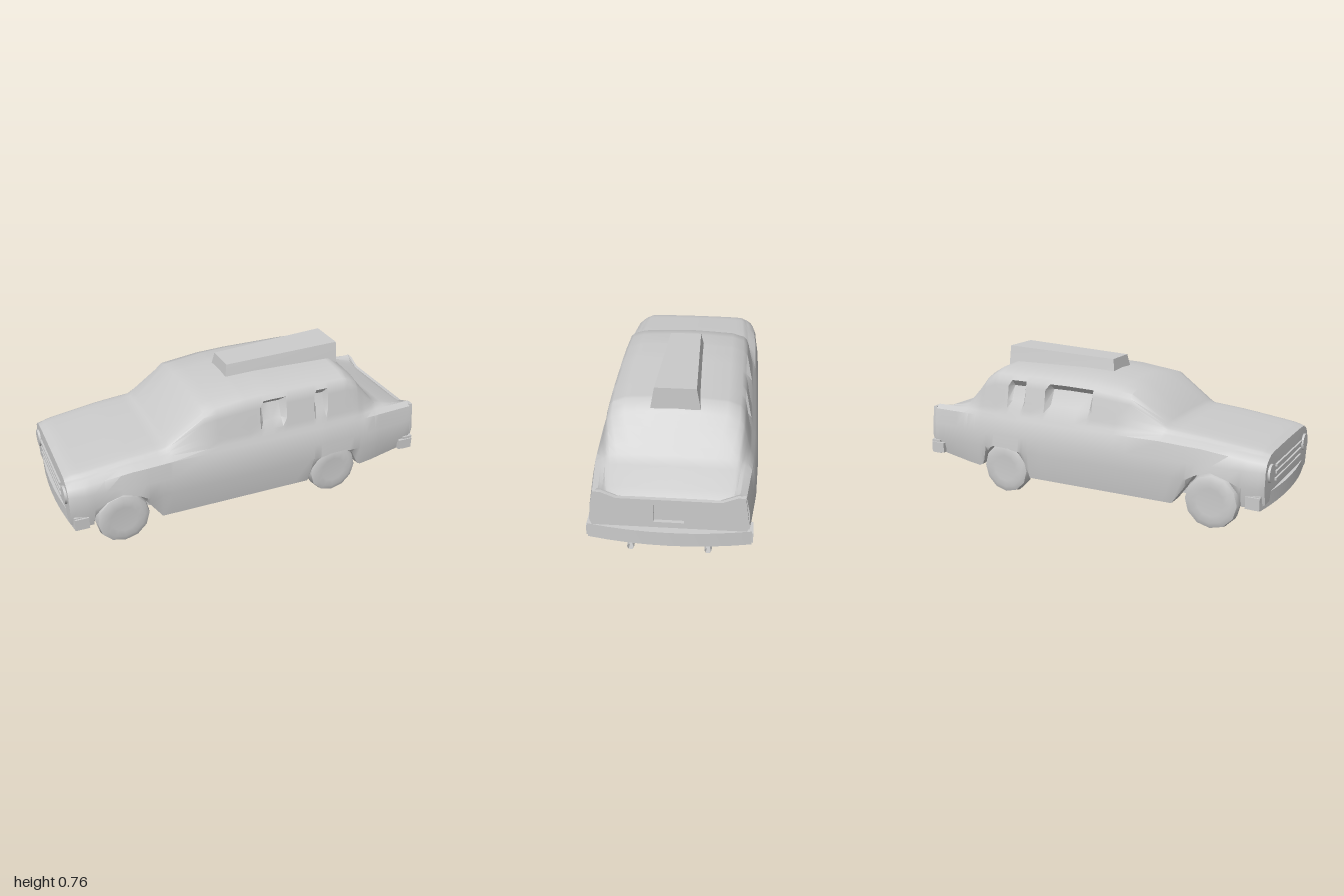
import * as THREE from 'three';
import { toCreasedNormals } from 'three/addons/utils/BufferGeometryUtils.js';

const material = new THREE.MeshStandardMaterial({ color: 0xcccccc, side: THREE.DoubleSide });

function add(parent, name, geometry, x = 0, y = 0, z = 0, crease = 0.7) {
  const mesh = new THREE.Mesh(toCreasedNormals(geometry, crease), material);
  mesh.name = name;
  mesh.position.set(x, y, z);
  parent.add(mesh);
  return mesh;
}

// Linear interpolation through [x, value] pairs
function sample(table, x) {
  for (let i = 1; i < table.length; i++) {
    const [x0, v0] = table[i - 1], [x1, v1] = table[i];
    if (x <= x1) return v0 + (v1 - v0) * Math.max(0, (x - x0) / (x1 - x0));
  }
  return table[table.length - 1][1];
}

// Body curves along the length; the nose points to -x
const roof = [[-0.98, 0.405], [-0.94, 0.42], [-0.66, 0.455], [-0.47, 0.475], [-0.27, 0.645], [-0.2, 0.655],
  [-0.06, 0.675], [0.1, 0.682], [0.54, 0.68], [0.6, 0.642], [0.73, 0.475], [0.78, 0.45], [0.9, 0.41], [0.94, 0.385]];
const belt = [[-0.98, 0.385], [-0.66, 0.425], [-0.45, 0.435], [0.73, 0.435], [0.94, 0.43]];
const halfWidth = [[-0.98, 0.368], [-0.9, 0.385], [-0.6, 0.4], [0.4, 0.404], [0.7, 0.395], [0.94, 0.37]];
const floorLine = [[-0.98, 0.17], [-0.9, 0.14], [0.65, 0.14], [0.94, 0.17]];
const sill = [[-0.98, 0.17], [-0.95, 0.15], [-0.87, 0.15], [-0.86, 0.2], [-0.8, 0.27], [-0.72, 0.295],
  [-0.64, 0.27], [-0.585, 0.2], [-0.52, 0.11], [0.3, 0.11], [0.325, 0.18], [0.37, 0.24], [0.42, 0.255],
  [0.52, 0.255], [0.57, 0.22], [0.61, 0.14], [0.63, 0.13], [0.94, 0.17]];

// Sunken window openings: [start, end, side, depth]
const windows = [[0.03, 0.18, 1, 0.045], [0.33, 0.43, 1, 0.035], [-0.06, 0.22, -1, 0.05], [0.34, 0.45, -1, 0.035]];

// Upper section rows: [height share, z on the deck, z on the cabin, share of the window depth]
const rows = [[0, 0.345, 0.365, 0], [0.14, 0.335, 0.358, 0], [0.3, 0.325, 0.348, 0.5], [0.62, 0.315, 0.334, 1],
  [0.75, 0.3, 0.325, 0], [0.85, 0.26, 0.305, 0], [0.94, 0.19, 0.245, 0], [0.975, 0.09, 0.12, 0]];

// Half cross-section from floor centre to roof centre, as [z, y]
function halfSection(x, side) {
  const w = sample(halfWidth, x), yb = sample(sill, x), yf = sample(floorLine, x);
  const d = sample(belt, x), top = sample(roof, x);
  const cabin = THREE.MathUtils.clamp((top - d) / 0.2, 0, 1);
  const dent = windows.reduce((s, [a, b, k, depth]) => (k === side && x > a + 0.01 && x < b - 0.01 ? depth : s), 0);
  const points = [[0, yf], [0.29, yf], [0.29, yb], [w - 0.02, yb], [w, Math.max(0.25, yb + 0.005)],
    [w - 0.006, 0.33], [w - 0.022, d - 0.02]];
  for (const [f, zDeck, zCabin, share] of rows)
    points.push([THREE.MathUtils.lerp(zDeck, zCabin, cabin) * w / 0.4 - share * dent, d + (top - d) * f]);
  points.push([0, top]);
  return points.map(([z, y]) => [z * side, y]);
}

function bodyGeometry() {
  const stations = [roof, belt, halfWidth, floorLine, sill].flat().map((p) => p[0]);
  for (const [a, b] of windows) stations.push(a, a + 0.025, b - 0.025, b);
  const xs = [...new Set(stations)].sort((a, b) => a - b);
  const positions = [], index = [];
  let n = 0;
  for (const x of xs) {
    const ring = [...halfSection(x, 1), ...halfSection(x, -1).reverse().slice(1, -1)];
    n = ring.length;
    for (const [z, y] of ring) positions.push(x, y, z);
  }
  const last = (xs.length - 1) * n, nose = xs.length * n;
  for (let j = 0; j < n; j++) {
    const k = (j + 1) % n;
    for (let i = 0; i < last; i += n) index.push(i + j, i + n + j, i + n + k, i + j, i + n + k, i + k);
    index.push(nose, j, k, nose + 1, last + k, last + j);
  }
  positions.push(xs[0] - 0.005, 0.29, 0, xs[xs.length - 1], 0.29, 0);
  const g = new THREE.BufferGeometry();
  g.setAttribute('position', new THREE.Float32BufferAttribute(positions, 3));
  g.setIndex(index);
  return g;
}

// Bar with a bowed outer edge; dir is -1 at the nose and 1 at the tail
function bumperGeometry(dir, inner, end, middle, half, height) {
  const s = new THREE.Shape();
  s.moveTo(dir * inner, -half);
  s.lineTo(dir * end, -half);
  s.quadraticCurveTo(dir * (2 * middle - end), 0, dir * end, half);
  s.lineTo(dir * inner, half);
  s.closePath();
  const g = new THREE.ExtrudeGeometry(s, { depth: height, bevelEnabled: false, curveSegments: 8 });
  return g.rotateX(-Math.PI / 2);
}

// Roof sign: tapered towards the top, wider and higher at the rear
function signGeometry() {
  const g = new THREE.BoxGeometry(1, 1, 1);
  const p = g.attributes.position;
  for (let i = 0; i < p.count; i++) {
    const up = p.getY(i) > 0, back = p.getX(i) > 0;
    const half = up ? (back ? 0.1 : 0.08) : (back ? 0.12 : 0.1);
    p.setXYZ(i, back ? 0.59 : up ? -0.045 : -0.06, up ? (back ? 0.757 : 0.732) : 0.645, Math.sign(p.getZ(i)) * half);
  }
  return g;
}

// Tail panel with the recess for the number plate, dipping between the fins
function tailPanelGeometry() {
  const s = new THREE.Shape([[-0.345, 0.19], [0.345, 0.19], [0.365, 0.27], [0.345, 0.42], [0.31, 0.42],
    [0.24, 0.39], [-0.24, 0.39], [-0.31, 0.42], [-0.345, 0.42], [-0.365, 0.27]]
    .map(([x, y]) => new THREE.Vector2(x, y)));
  s.holes.push(new THREE.Path([[-0.07, 0.265], [-0.07, 0.36], [0.07, 0.36], [0.07, 0.265]]
    .map(([x, y]) => new THREE.Vector2(x, y))));
  return new THREE.ExtrudeGeometry(s, { depth: 0.02, bevelEnabled: false }).rotateY(Math.PI / 2);
}

// Chunky wheel with a flat tread and a slightly domed face
function wheelGeometry() {
  const profile = [[0, -0.036], [0.1, -0.038], [0.134, -0.034], [0.138, 0], [0.132, 0.026],
    [0.105, 0.037], [0.07, 0.034], [0, 0.036]];
  return new THREE.LatheGeometry(profile.map(([r, h]) => new THREE.Vector2(r, h)), 12).rotateX(Math.PI / 2);
}

export function createModel() {
  const car = new THREE.Group();
  car.name = 'car';

  add(car, 'body', bodyGeometry());
  add(car, 'roofSign', signGeometry(), 0, 0, 0, 0.3);
  add(car, 'tailPanel', tailPanelGeometry(), 0.938, 0, 0, 0.5);
  add(car, 'rearBumper', bumperGeometry(1, 0.9, 0.955, 0.995, 0.378, 0.075), 0, 0.16, 0);
  add(car, 'frontBumper', bumperGeometry(-1, 0.92, 0.965, 1, 0.375, 0.07), 0, 0.145, 0);

  // Grille bars between the lamps
  for (let i = 0; i < 3; i++)
    add(car, 'grilleBar', new THREE.BoxGeometry(0.02, 0.012, 0.44), -0.982, 0.26 + i * 0.035, 0);

  for (const side of [1, -1]) {
    add(car, 'headlight', new THREE.CylinderGeometry(0.045, 0.05, 0.04, 12).rotateZ(Math.PI / 2),
      -0.972, 0.31, side * 0.29);
    // Bumper corners wrapping onto the wings
    add(car, 'frontBumperCorner', new THREE.BoxGeometry(0.07, 0.06, 0.02), -0.93, 0.18, side * 0.375);
    add(car, 'rearBumperCorner', new THREE.BoxGeometry(0.08, 0.055, 0.022), 0.912, 0.195, side * 0.374);

    for (const [name, x, y] of [['frontWheel', -0.72, 0.148], ['rearWheel', 0.46, 0.138]]) {
      const wheel = add(car, name, wheelGeometry(), x, y, side * 0.347);
      if (side < 0) wheel.rotation.y = Math.PI;
    }

    const pipe = new THREE.CatmullRomCurve3([[0.5, 0.15], [0.65, 0.125], [0.8, 0.11], [0.96, 0.115]]
      .map(([x, y]) => new THREE.Vector3(x, y, side * 0.18)));
    add(car, 'exhaustPipe', new THREE.TubeGeometry(pipe, 8, 0.017, 6));
  }

  // Running gear under the floor
  for (const x of [-0.72, 0.46])
    add(car, 'axle', new THREE.CylinderGeometry(0.025, 0.025, 0.64, 8).rotateX(Math.PI / 2), x, 0.14, 0);
  add(car, 'sump', new THREE.SphereGeometry(1, 10, 8).scale(0.12, 0.03, 0.12), -0.74, 0.14, 0);
  add(car, 'silencer', new THREE.BoxGeometry(0.2, 0.03, 0.21), 0.76, 0.112, 0);
  return car;
}
